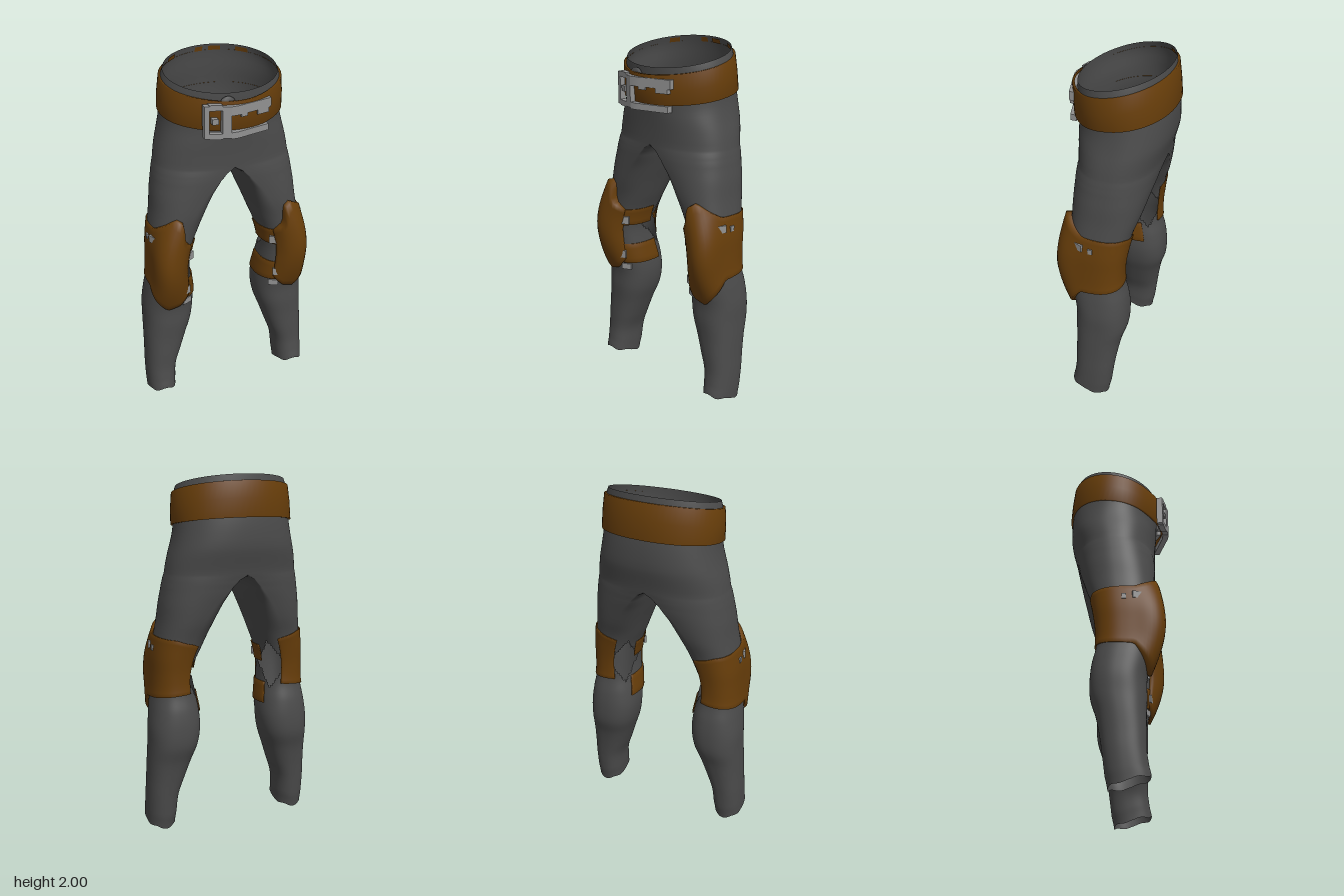
import * as THREE from 'three';
import { mergeGeometries, mergeVertices } from 'three/addons/utils/BufferGeometryUtils.js';

const cloth = new THREE.MeshStandardMaterial({ color: 0x4b4b4b, side: THREE.DoubleSide });
cloth.name = 'grey cloth';
const leather = new THREE.MeshStandardMaterial({ color: 0x683e0a, side: THREE.DoubleSide });
leather.name = 'brown leather';
const metal = new THREE.MeshStandardMaterial({ color: 0x929292 });
metal.name = 'pale metal';

const RAD = Math.PI / 180;
const JOIN = 1.47, ANKLE = 0.04;
const clamp = THREE.MathUtils.clamp;

// Hip sections: height, inner x, outer x, split x, front z, back z, rim tilt
const HIPS = [
  [JOIN, 0, 0.38, 0, 0.2, -0.258, 0],
  [1.55, 0, 0.366, 0, 0.202, -0.277, 0],
  [1.62, 0, 0.348, 0, 0.206, -0.293, 0],
  [1.7, 0, 0.333, 0, 0.21, -0.295, 0.03],
  [1.8, 0, 0.327, 0, 0.214, -0.284, 0.05],
  [1.9, 0, 0.325, 0, 0.222, -0.277, 0.055],
  [1.945, 0, 0.31, 0, 0.222, -0.27, 0.055],
];
// Leg sections, same layout
const LEG = [
  [ANKLE, 0.335, 0.493, 0.415, 0.16, -0.055, 0],
  [0.1, 0.33, 0.495, 0.41, 0.15, -0.07, 0],
  [0.2, 0.32, 0.495, 0.405, 0.14, -0.085, 0],
  [0.3, 0.285, 0.492, 0.39, 0.14, -0.1, 0],
  [0.4, 0.25, 0.49, 0.37, 0.14, -0.12, 0],
  [0.5, 0.215, 0.487, 0.35, 0.145, -0.15, 0],
  [0.6, 0.2, 0.485, 0.34, 0.145, -0.155, 0],
  [0.7, 0.205, 0.473, 0.34, 0.16, -0.145, 0],
  [0.8, 0.22, 0.458, 0.34, 0.17, -0.122, 0],
  [0.9, 0.225, 0.452, 0.34, 0.175, -0.122, 0],
  [1.0, 0.205, 0.448, 0.325, 0.175, -0.135, 0],
  [1.1, 0.165, 0.435, 0.29, 0.18, -0.155, 0],
  [1.2, 0.127, 0.42, 0.235, 0.19, -0.188, 0],
  [1.3, 0.087, 0.41, 0.17, 0.195, -0.215, 0],
  [1.4, 0.052, 0.395, 0.085, 0.2, -0.24, 0],
  [1.44, 0.035, 0.387, 0.045, 0.2, -0.25, 0],
  [JOIN, 0, 0.38, 0, 0.2, -0.258, 0],
];

// Smooth interpolation of a section table
function sample(table, y) {
  const last = table.length - 1;
  let i = 0;
  while (i < last - 1 && table[i + 1][0] < y) i++;
  const a = table[i], b = table[i + 1], t = clamp((y - a[0]) / (b[0] - a[0]), 0, 1);
  const before = table[Math.max(i - 1, 0)], after = table[Math.min(i + 2, last)];
  return a.map((n, k) => {
    const m0 = (b[k] - before[k]) / 2, m1 = (after[k] - n) / 2;
    return n + t * (m0 + t * (3 * (b[k] - n) - 2 * m0 - m1 + t * (2 * (n - b[k]) + m0 + m1)));
  });
}

const soft = (n, p) => Math.sign(n) * Math.pow(Math.abs(n), p);

// Point on a section; angle 0 is the outer side, 90 the front; rounder towards the waist
function section(table, deg, y, off) {
  const [, inner, outer, split, front, back, tilt] = sample(table, y);
  const c = Math.cos(deg * RAD), n = Math.sin(deg * RAD);
  const p = 0.84 + 0.14 * clamp((y - 1.6) / 0.2, 0, 1);
  const left = table === HIPS ? -outer : inner;
  const rx = c > 0 ? outer - split : split - left;
  const z = (front + back) / 2 + (front - back) / 2 * soft(n, p);
  return [split + rx * soft(c, p) + off * c, z + off * n, tilt * n];
}

function hipPoint(deg, v, off = 0) {
  const [x, z, drop] = section(HIPS, deg, v, off);
  return [x, v - drop, z];
}

function legPoint(deg, v, off = 0, side = 1) {
  const [x, z] = section(LEG, deg, v, off);
  const saddle = 0.02 * Math.sqrt(Math.max(0, -Math.cos(deg * RAD))) * clamp((v - 1.4) / 0.07, 0, 1);
  const hem = clamp((0.2 - v) / 0.16, 0, 1) * (0.03 * Math.sin(deg * RAD) + 0.006 * Math.sin(deg * RAD * 5));
  return [x * side, v - saddle + hem, z];
}

// Grid surface from fn(u, v); flip reverses the facing, skip leaves holes
function sheet(fn, nu, nv, flip = false, skip = null) {
  const pos = [], idx = [], w = nu + 1;
  for (let j = 0; j <= nv; j++) for (let i = 0; i <= nu; i++) pos.push(...fn(i / nu, j / nv));
  for (let j = 0; j < nv; j++) for (let i = 0; i < nu; i++) {
    if (skip && skip((i + 0.5) / nu, (j + 0.5) / nv)) continue;
    const a = j * w + i, b = a + 1, d = a + w, e = d + 1;
    idx.push(...(flip ? [a, b, d, b, e, d] : [a, d, b, b, d, e]));
  }
  const g = new THREE.BufferGeometry();
  g.setAttribute('position', new THREE.Float32BufferAttribute(pos, 3));
  g.setIndex(idx);
  return g;
}

function smooth(g) {
  const m = mergeVertices(g, 1e-4);
  m.computeVertexNormals();
  return m;
}

function add(parent, name, geometry, material) {
  const m = new THREE.Mesh(geometry, material);
  m.name = name;
  parent.add(m);
  return m;
}

// Leather patch over a leg, its edges lying on the cloth
function legPatch(d0, d1, low, high, lift, side, nu, nv) {
  return smooth(sheet((u, v) => {
    const edge = u === 0 || u === 1 || v === 0 || v === 1;
    const uu = clamp((u * nu - 1) / (nu - 2), 0, 1), vv = clamp((v * nv - 1) / (nv - 2), 0, 1);
    const d = d0 + (d1 - d0) * uu;
    const y = low(d) + (high(d) - low(d)) * vv;
    return legPoint(d, y, edge ? 0.002 : lift(d, y), side);
  }, nu, nv, side < 0));
}

// Piecewise-linear curve through [angle, height] pairs
const curve = (pts) => (d) => {
  let i = 0;
  while (i < pts.length - 2 && pts[i + 1][0] < d) i++;
  const [a, b] = [pts[i], pts[i + 1]];
  return a[1] + (b[1] - a[1]) * clamp((d - a[0]) / (b[0] - a[0]), 0, 1);
};

export function createModel() {
  const model = new THREE.Group();
  model.name = 'trousers';

  // Trousers: hips and two legs welded into one skin, with a tear behind each knee
  const span = JOIN - ANKLE;
  const tear = (u, v) => Math.abs(u * 360 - 217) / 45 + Math.abs(ANKLE + v * span - 0.91) / 0.14 < 1;
  const legSkin = (side) => sheet((u, v) => legPoint(u * 360, ANKLE + v * span, 0, side), 96, 96, side < 0, tear);
  const hips = sheet((u, v) => hipPoint(u * 360, JOIN + v * (1.945 - JOIN)), 96, 16);
  add(model, 'trouserCloth', smooth(mergeGeometries([hips, legSkin(1), legSkin(-1)])), cloth);

  // Belt standing proud of the waist, bulging at the front
  const beltProfile = [[1.735, -0.002], [1.735, 0.012], [1.825, 0.016], [1.912, 0.012], [1.912, -0.002]];
  add(model, 'belt', smooth(sheet((u, v) => {
    const [y, off] = beltProfile[Math.round(v * 4)];
    const bulge = 0.03 * Math.pow(Math.max(0, Math.sin(u * 360 * RAD)), 8);
    return hipPoint(u * 360, y, off + bulge);
  }, 64, 4)), leather);

  // Leather scraps on the inside of the waistband
  for (const [d0, d1] of [[222, 234], [260, 268], [274, 286], [302, 316]]) {
    add(model, 'waistScrap', smooth(sheet((u, v) =>
      hipPoint(d0 + (d1 - d0) * u, 1.91 + 0.025 * v, -0.006), 6, 1, true)), leather);
  }

  // Buckle: bars bent around the belt, forming a frame and a worn plate
  const buckle = new THREE.Group();
  buckle.name = 'buckle';
  model.add(buckle);
  const bars = [
    [-0.19, -0.165, 1.67, 1.845], [-0.1, -0.055, 1.67, 1.84],
    [-0.165, -0.1, 1.82, 1.85], [-0.165, -0.1, 1.665, 1.695],
    [-0.055, 0.185, 1.79, 1.84], [-0.055, 0.17, 1.665, 1.7],
    [0.1, 0.17, 1.765, 1.79], [0.0, 0.04, 1.775, 1.79], [-0.15, -0.12, 1.745, 1.775],
  ];
  for (const [x0, x1, y0, y1] of bars) {
    const g = new THREE.BoxGeometry(x1 - x0, y1 - y0, 0.034, 6, 1, 1);
    g.translate((x0 + x1) / 2, (y0 + y1) / 2, 0.272);
    const p = g.attributes.position;
    for (let i = 0; i < p.count; i++) p.setZ(i, p.getZ(i) - 0.27 * Math.abs(p.getX(i) + 0.04));
    g.computeVertexNormals();
    add(buckle, 'buckleBar', g, metal);
  }
  const button = add(model, 'waistButton', new THREE.SphereGeometry(0.04, 12, 8), cloth);
  button.position.set(-0.06, 1.84, 0.234);
  button.scale.set(1.1, 1, 0.4);

  // Knee guards
  const low = curve([[-112, 0.8], [-60, 0.79], [20, 0.77], [50, 0.69], [76, 0.62], [95, 0.64], [120, 0.71]]);
  const high = curve([[-112, 1.07], [-60, 1.11], [20, 1.12], [45, 1.16], [64, 1.2], [80, 1.175], [92, 1.07], [120, 1.02]]);
  const padLift = (d, y) => 0.009 + 0.07 * Math.pow(Math.max(0, Math.cos((d - 74) * RAD)), 5)
    * Math.max(0, Math.sin(Math.PI * clamp((y - 0.6) / 0.66, 0, 1)));
  const level = (y) => () => y;
  const strapLift = () => 0.009;
  for (const side of [1, -1]) {
    const guard = new THREE.Group();
    guard.name = side > 0 ? 'leftKneeGuard' : 'rightKneeGuard';
    model.add(guard);
    add(guard, 'kneePad', legPatch(-112, 120, low, high, padLift, side, 40, 16), leather);
    add(guard, 'upperStrap', legPatch(112, 188, level(0.92), level(1.02), strapLift, side, 16, 6), leather);
    add(guard, 'lowerStrap', legPatch(112, 200, level(0.68), level(0.8), strapLift, side, 16, 6), leather);

    // Strap fittings: angle, height, width, height, lift
    const fittings = [
      [122, 0.955, 0.06, 0.045, 0.014], [112, 0.74, 0.05, 0.045, 0.014], [116, 0.655, 0.06, 0.035, 0.002],
      [24, 1.06, 0.05, 0.04, 0.012], [2, 1.05, 0.025, 0.03, 0.008],
    ];
    for (const [d, y, w, h, off] of fittings) {
      const f = add(guard, 'strapFitting', new THREE.BoxGeometry(w, h, 0.014), metal);
      f.position.set(...legPoint(d, y, off, side));
      f.rotation.y = Math.atan2(side * Math.cos(d * RAD), Math.sin(d * RAD));
    }
  }
  return model;
}
